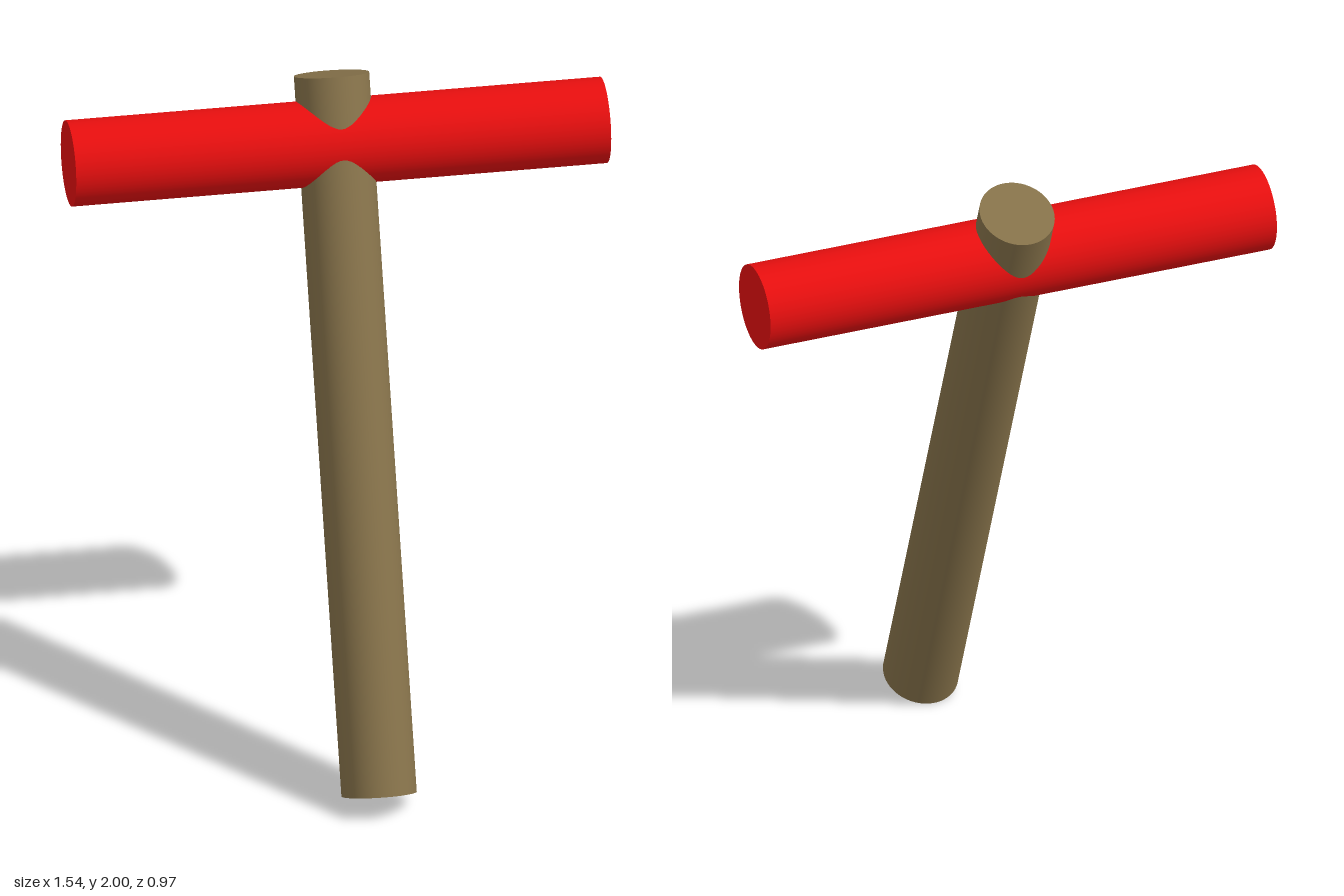
import * as THREE from 'three';

const wood = new THREE.MeshStandardMaterial({ name: 'brown wood', color: 0x86724a });
const red = new THREE.MeshStandardMaterial({ name: 'red', color: 0xec0f0f });

// Smooth capped cylinder
function rod(name, radius, length, material) {
  const mesh = new THREE.Mesh(new THREE.CylinderGeometry(radius, radius, length, 64), material);
  mesh.name = name;
  return mesh;
}

export function createModel() {
  const model = new THREE.Group();
  model.name = 'mallet';

  // Handle: slightly oval, leaning back from bottom to top
  const bottom = new THREE.Vector3(0, 0.042, 0.376);
  const top = new THREE.Vector3(0, 1.958, -0.376);
  const axis = top.clone().sub(bottom);
  const handle = rod('handle', 0.107, axis.length(), wood);
  handle.scale.z = 1.075;
  handle.position.copy(bottom).lerp(top, 0.5);
  handle.rotation.x = Math.atan2(axis.z, axis.y);
  model.add(handle);

  // Head: level crossbar through the upper handle
  const head = rod('head', 0.123, 1.544, red);
  head.position.set(0, 1.778, -0.305);
  head.rotation.z = Math.PI / 2;
  model.add(head);

  return model;
}
